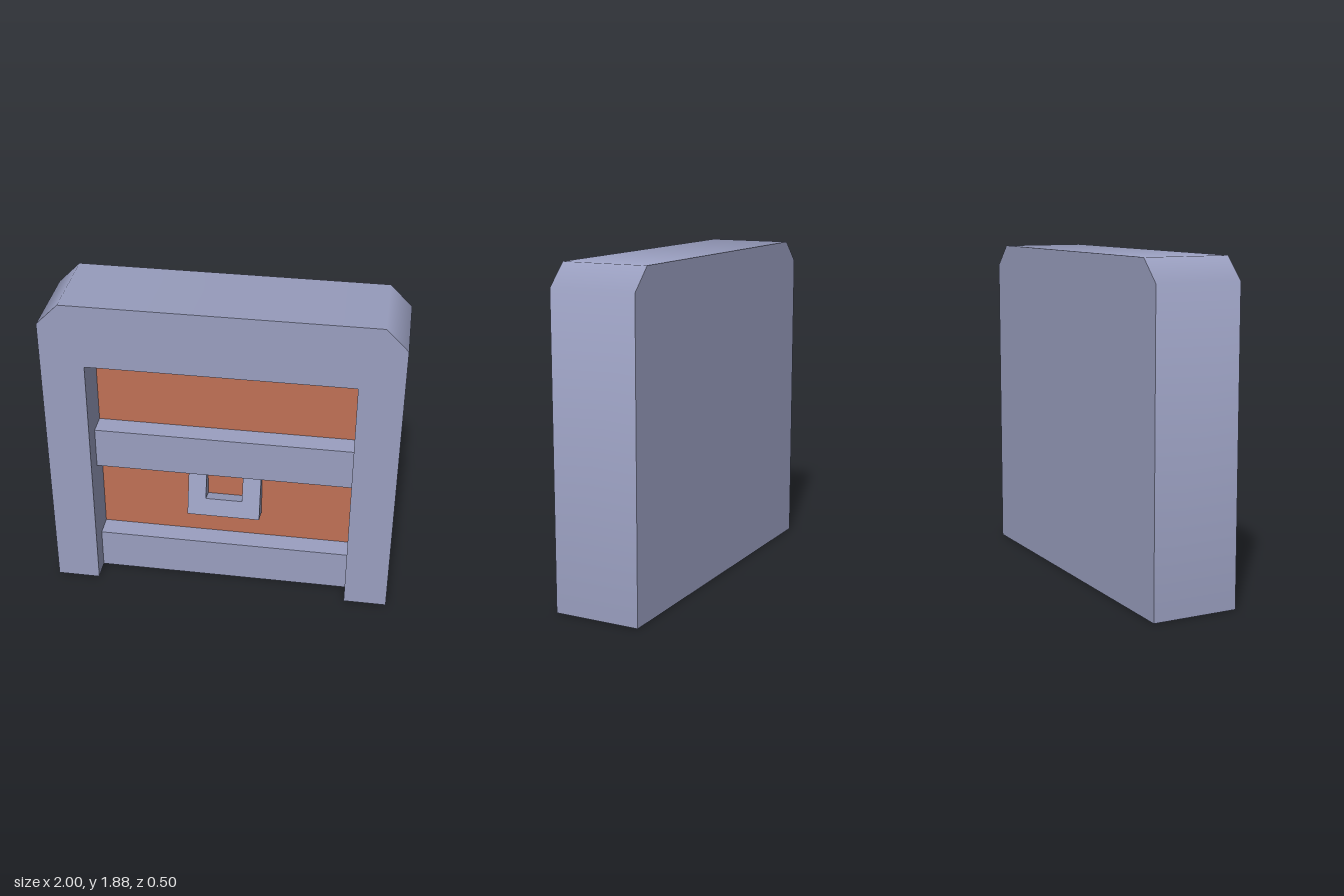
import * as THREE from 'three';

const stone = new THREE.MeshStandardMaterial({ color: 0x9a9fc0 });
stone.name = 'greyBlue';
const panel = new THREE.MeshStandardMaterial({ color: 0xc07055 });
panel.name = 'terracotta';

function extrude(points, depth) {
  const shape = new THREE.Shape(points.map(([x, y]) => new THREE.Vector2(x, y)));
  return new THREE.ExtrudeGeometry(shape, { depth, bevelEnabled: false });
}

function part(name, geometry, material, x = 0, y = 0, z = 0) {
  const mesh = new THREE.Mesh(geometry, material);
  mesh.name = name;
  mesh.position.set(x, y, z);
  return mesh;
}

export function createModel() {
  const model = new THREE.Group();
  model.name = 'panelledArch';

  // Outer frame: chamfered top corners, opening down to the floor
  const frame = extrude([
    [-1, 0], [-0.75, 0], [-0.75, 1.5], [0.75, 1.5], [0.75, 0], [1, 0],
    [1, 1.75], [0.875, 1.875], [-0.875, 1.875], [-1, 1.75],
  ], 0.5);
  // Smooth shading around the chamfered rim
  const pos = frame.attributes.position, nor = frame.attributes.normal;
  for (let i = 0; i < pos.count; i++) {
    if (Math.abs(nor.getZ(i)) > 0.5 || pos.getY(i) < 1.7) continue;
    const angle = (pos.getY(i) > 1.8 ? 3 : 1) * Math.PI / 8;
    nor.setXYZ(i, Math.sign(pos.getX(i)) * Math.cos(angle), Math.sin(angle), 0);
  }
  model.add(part('frame', frame, stone, 0, 0, -0.25));

  // Board filling the rear half of the opening, coloured on its front face
  model.add(part('backBoard', new THREE.BoxGeometry(1.5, 1.5, 0.25),
    [stone, stone, stone, stone, panel, stone], 0, 0.75, -0.125));

  // Cross bars
  for (const [name, y] of [['lowerBar', 0.125], ['middleBar', 0.875]]) {
    model.add(part(name, new THREE.BoxGeometry(1.5, 0.25, 0.125), stone, 0, y, 0.0625));
  }

  // U-shaped handle, its lower end swung outwards
  const handle = part('handle', extrude([
    [-0.215, 0], [0.215, 0], [0.215, 0.37], [0.108, 0.37],
    [0.108, 0.108], [-0.108, 0.108], [-0.108, 0.37], [-0.215, 0.37],
  ], 0.125), stone, 0, 0.418, 0);
  handle.rotation.x = -0.26;
  model.add(handle);

  return model;
}
